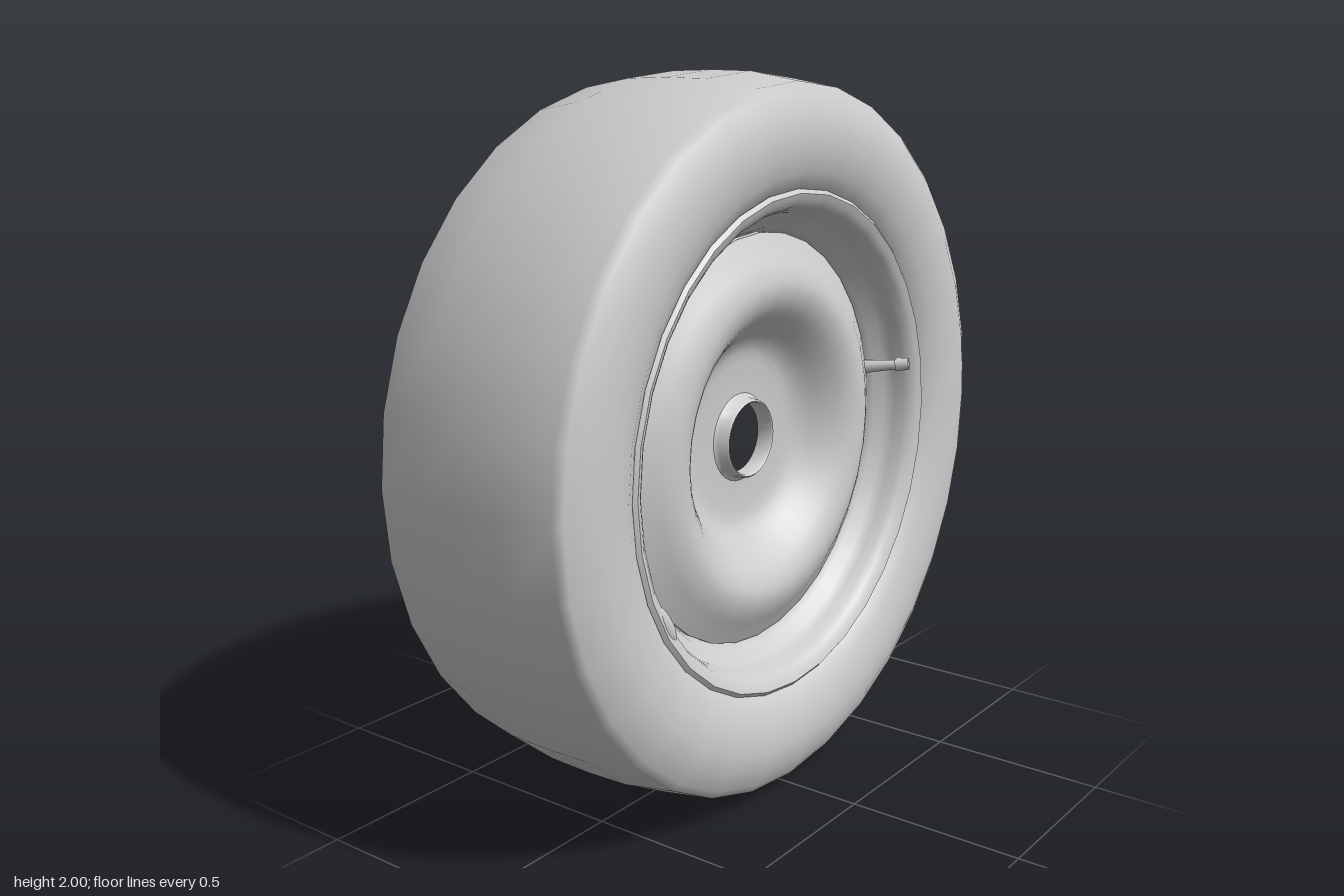
import * as THREE from 'three';
import { toCreasedNormals } from 'three/addons/utils/BufferGeometryUtils.js';

const material = new THREE.MeshStandardMaterial({ color: 0xcccccc, side: THREE.DoubleSide });

// Profile points are [radius, position along the axle]; the axle runs along x.
function turned(name, profile, segments, crease) {
  const points = profile.map(([r, a]) => new THREE.Vector2(r, a));
  let geometry = new THREE.LatheGeometry(points, segments);
  if (crease) geometry = toCreasedNormals(geometry, crease);
  geometry.rotateZ(-Math.PI / 2);
  const mesh = new THREE.Mesh(geometry, material);
  mesh.name = name;
  return mesh;
}

// Smooth a coarse profile with a spline
function smooth(profile, count) {
  const curve = new THREE.CatmullRomCurve3(profile.map(([r, a]) => new THREE.Vector3(r, a, 0)), false, 'centripetal');
  return curve.getPoints(count).map((p) => [p.x, p.y]);
}

function createWeight(name, side) {
  const mesh = new THREE.Mesh(new THREE.SphereGeometry(1, 12, 8), material);
  const angle = THREE.MathUtils.degToRad(32);
  mesh.scale.set(0.022, 0.026, 0.075);
  mesh.position.set(side * 0.272, -side * Math.sin(angle) * 0.662, Math.cos(angle) * 0.662);
  // Long axis follows the rim
  mesh.rotation.x = side * (angle - Math.PI / 2);
  mesh.name = name;
  return mesh;
}

function createValve() {
  const valve = new THREE.Group();
  valve.name = 'valve';
  const base = new THREE.Vector3(0.15, 0.12, -0.545);
  const tip = new THREE.Vector3(0.285, 0.135, -0.605);
  const length = base.distanceTo(tip);
  const stem = new THREE.Mesh(new THREE.CylinderGeometry(0.012, 0.022, length, 12), material);
  stem.position.y = length / 2;
  stem.name = 'valveStem';
  const cap = new THREE.Mesh(new THREE.CylinderGeometry(0.018, 0.02, 0.04, 12), material);
  cap.position.y = length - 0.015;
  cap.name = 'valveCap';
  valve.add(stem, cap);
  valve.position.copy(base);
  valve.quaternion.setFromUnitVectors(new THREE.Vector3(0, 1, 0), tip.sub(base).normalize());
  return valve;
}

export function createModel() {
  const wheel = new THREE.Group();
  wheel.name = 'wheel';

  // Tyre: half section from tread centre to bead, mirrored
  const half = [
    [0.997, 0.13], [0.972, 0.28], [0.95, 0.297], [0.9, 0.321], [0.845, 0.33],
    [0.79, 0.326], [0.74, 0.312], [0.7, 0.29], [0.68, 0.265],
  ];
  const tyreProfile = [...half.map(([r, a]) => [r, -a]).reverse(), [1, 0], ...half];
  wheel.add(turned('tyre', tyreProfile, 32));

  // Rim: flanges, bead seats and drop centre
  wheel.add(turned('rim', [
    [0.69, -0.265], [0.697, -0.285], [0.685, -0.295], [0.665, -0.288], [0.648, -0.27], [0.64, -0.245],
    [0.628, -0.22], [0.618, -0.06], [0.605, -0.03], [0.582, 0.01], [0.575, 0.05], [0.575, 0.15],
    [0.59, 0.18], [0.622, 0.2], [0.632, 0.23], [0.64, 0.255], [0.65, 0.275], [0.668, 0.288],
    [0.685, 0.295], [0.697, 0.285], [0.69, 0.265],
  ], 32, 0.75));

  // Dished centre plate with a flat hub
  const dish = smooth([
    [0.575, 0.165], [0.53, 0.19], [0.48, 0.218], [0.43, 0.23], [0.38, 0.215],
    [0.33, 0.175], [0.285, 0.13], [0.25, 0.108], [0.215, 0.1],
  ], 24);
  wheel.add(turned('centrePlate', [[0.575, 0.1], [0.575, 0.165], ...dish.slice(1), [0.12, 0.1]], 32, 0.7));

  // Raised collar around the axle hole
  wheel.add(turned('axleCollar', [
    [0.125, 0.1], [0.114, 0.108], [0.111, 0.135], [0.106, 0.14], [0.101, 0.135], [0.1, 0.09],
  ], 32, 0.9));

  wheel.add(createValve());
  wheel.add(createWeight('outerBalanceWeight', 1), createWeight('innerBalanceWeight', -1));

  wheel.position.y = 1;
  const model = new THREE.Group();
  model.name = 'wheelModel';
  model.add(wheel);
  return model;
}
